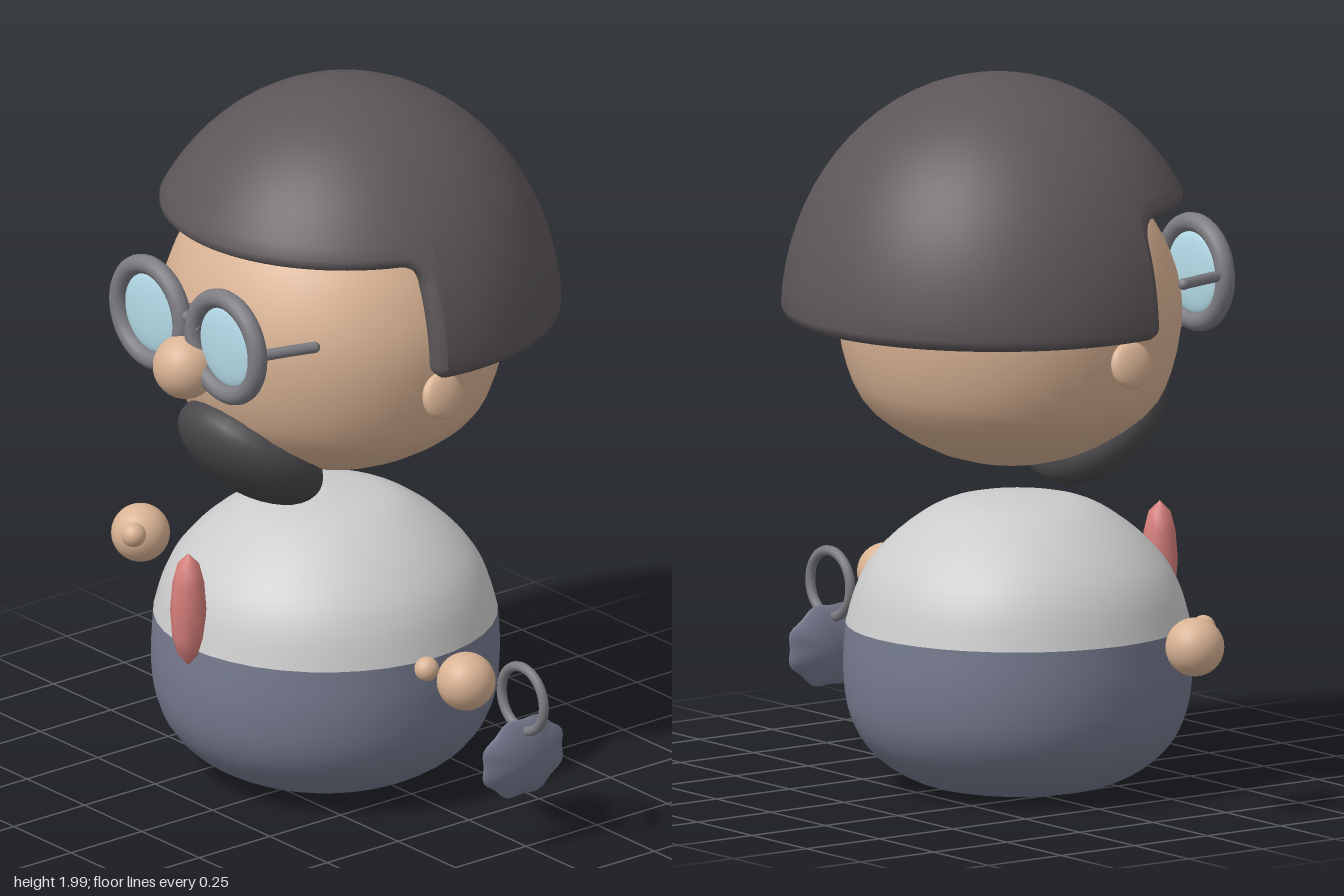
import * as THREE from 'three';
import { mergeVertices } from 'three/addons/utils/BufferGeometryUtils.js';

const CX = -0.075; // centre line of the figure
const paint = (color, extra = {}) => new THREE.MeshStandardMaterial({ color, ...extra });
const skin = paint(0xd9b394), hairMat = paint(0x5c5658), beardMat = paint(0x4a484a);
const shirtMat = paint(0xcccccc), slate = paint(0x757a8e), metal = paint(0x7c7c82);
const glass = paint(0xb4dbe8), red = paint(0xd67f7b);

function add(parent, name, geometry, material, x = 0, y = 0, z = 0) {
  const mesh = new THREE.Mesh(geometry, material);
  mesh.name = name;
  mesh.position.set(x, y, z);
  parent.add(mesh);
  return mesh;
}

const ball = (r, sx = 1, sy = 1, sz = 1) => new THREE.SphereGeometry(r, 32, 20).scale(sx, sy, sz);

// Smooth lathe through [radius, height] points, listed bottom to top
function lathe(points, segments = 40, samples = 24) {
  const curve = new THREE.SplineCurve(points.map(([r, y]) => new THREE.Vector2(r, y)));
  const profile = curve.getPoints(samples);
  profile.forEach((p) => { p.x = Math.max(0, p.x); });
  return new THREE.LatheGeometry(profile, segments);
}

function tube(points, radius) {
  const curve = new THREE.CatmullRomCurve3(points.map((p) => new THREE.Vector3(...p)));
  return new THREE.TubeGeometry(curve, 16, radius, 10);
}

// Domed hair shell: long at the back and sides, cut away above the face
function hairGeometry() {
  const R = 0.595, H = 0.67, base = 1.33, fringe = 1.645, cz = -0.03;
  const radius = (y, k) => R * Math.sqrt(Math.max(0, k * k - ((y - base) / H) ** 2));
  const phiAt = (z, y) => Math.acos((z - cz) / radius(y, 1));
  const half = []; // rim from mid front to mid back: angle, height, outward direction
  const put = (phi, y, nz, ny) => half.push({ phi, y, nz, ny });
  const start = phiAt(0.16, fringe), end = phiAt(0.075, base);
  for (let i = 0; i < 20; i++) put((start * i) / 20, fringe, 0, -1);
  for (let i = 0; i <= 6; i++) {
    const t = (i / 6) * Math.PI / 2, nz = Math.sin(t), ny = -Math.cos(t);
    const y = 1.595 - 0.05 * ny;
    put(phiAt(0.16 - 0.05 * nz, y), y, nz, ny);
  }
  for (let i = 1; i < 6; i++) {
    const y = 1.595 - (0.23 * i) / 6;
    put(phiAt(0.11, y), y, 1, 0);
  }
  for (let i = 0; i <= 5; i++) {
    const t = (i / 5) * Math.PI / 2, nz = Math.cos(t), ny = -Math.sin(t);
    const y = 1.365 + 0.035 * ny;
    put(phiAt(0.075 + 0.035 * nz, y), y, nz, ny);
  }
  for (let i = 1; i <= 24; i++) put(end + ((Math.PI - end) * i) / 24, base, 0, -1);
  const mirrored = half.slice(1, -1).reverse().map((p) => ({ ...p, phi: -p.phi, flip: true }));
  const rim = [...half, ...mirrored];

  const inner = 0.87, rows = 18;
  const lip = [[0.01, 0.985], [0, 0.96], [0, 0.91], [0.01, 0.885]];
  const pos = [], index = [];
  let count = 0;
  for (const p of rim) {
    const at = (y, k, d) => {
      const phi = p.phi + (p.flip ? -1 : 1) * p.nz * d / 0.58, r = radius(y, k);
      pos.push(CX + r * Math.sin(phi), y, cz + r * Math.cos(phi));
    };
    const yTop = p.y - p.ny * 0.03;
    const meridian = (k, s) => {
      const a0 = Math.asin((yTop - base) / (H * k));
      return base + H * k * Math.sin(a0 + (Math.PI / 2 - a0) * s);
    };
    const from = pos.length;
    for (let j = 0; j <= rows; j++) at(meridian(1, 1 - j / rows), 1, 0.03);
    for (const [d, k] of lip) at(p.y - p.ny * d, k, d);
    for (let j = 0; j <= rows; j++) at(meridian(inner, j / rows), inner, 0.03);
    count = (pos.length - from) / 3;
  }
  for (let i = 0; i < rim.length; i++) {
    const a = i * count, b = ((i + 1) % rim.length) * count;
    for (let j = 0; j < count - 1; j++) {
      index.push(a + j, a + j + 1, b + j + 1, a + j, b + j + 1, b + j);
    }
  }
  let geometry = new THREE.BufferGeometry();
  geometry.setAttribute('position', new THREE.Float32BufferAttribute(pos, 3));
  geometry.setIndex(index);
  geometry = mergeVertices(geometry, 1e-5);
  geometry.computeVertexNormals();
  return geometry;
}

// Thin pillow with a gently scalloped outline, lying in the yz plane
function pendantGeometry() {
  const geometry = new THREE.SphereGeometry(1, 48, 24).rotateZ(Math.PI / 2);
  const p = geometry.attributes.position;
  for (let i = 0; i < p.count; i++) {
    const x = p.getX(i), y = p.getY(i), z = p.getZ(i);
    const f = 0.96 + 0.04 * Math.cos(8 * Math.atan2(y, z) + Math.PI) * Math.hypot(y, z);
    p.setXYZ(i, 0.037 * x * Math.sqrt(Math.abs(x)), 0.12 * y * f, 0.15 * z * f);
  }
  geometry.computeVertexNormals();
  return geometry;
}

export function createModel() {
  const model = new THREE.Group();
  model.name = 'figure';

  // Body in two colours
  add(model, 'trousers', lathe([[0, 0.008], [0.22, 0.015], [0.34, 0.06], [0.42, 0.13],
    [0.465, 0.22], [0.48, 0.34], [0.474, 0.465]]), slate, CX, 0, 0.04);
  add(model, 'shirt', lathe([[0.474, 0.465], [0.445, 0.565], [0.395, 0.65], [0.3, 0.74],
    [0.18, 0.805], [0, 0.825]]), shirtMat, CX, 0, 0.04);

  // Spindle-shaped tie
  const tie = [[0, -0.165], [0.03, -0.13], [0.044, -0.08], [0.05, 0], [0.044, 0.08],
    [0.03, 0.135], [0, 0.165]].map(([r, y]) => new THREE.Vector2(r, y));
  add(model, 'tie', new THREE.LatheGeometry(tie, 10), red, CX, 0.585, 0.525);

  // Head, hair, nose and beard
  add(model, 'head', lathe([[0, 0.905], [0.2, 0.945], [0.39, 1.055], [0.465, 1.18],
    [0.493, 1.35], [0.46, 1.5], [0.37, 1.64], [0.2, 1.74], [0, 1.77]]).scale(1, 1, 0.94),
  skin, CX, 0, 0.012);
  add(model, 'hair', hairGeometry(), hairMat);
  add(model, 'nose', ball(0.09), skin, CX, 1.306, 0.535);
  const beard = add(model, 'beard', ball(1, 0.215, 0.118, 0.225), beardMat, CX, 1.0, 0.305);
  beard.rotation.x = -0.69;

  // Glasses, ears and hands, mirrored about the centre line
  const glasses = new THREE.Group();
  glasses.name = 'glasses';
  glasses.position.x = CX;
  model.add(glasses);
  for (const s of [-1, 1]) {
    const side = s > 0 ? 'left' : 'right';
    add(glasses, side + 'Rim', new THREE.TorusGeometry(0.138, 0.027, 14, 40), metal,
      s * 0.164, 1.412, 0.525);
    add(glasses, side + 'Lens', ball(1, 0.115, 0.115, 0.018), glass, s * 0.164, 1.412, 0.52);
    add(glasses, side + 'Temple', tube([[s * 0.29, 1.42, 0.52], [s * 0.315, 1.422, 0.44],
      [s * 0.34, 1.422, 0.355]], 0.016), metal);
    add(glasses, side + 'TempleTip', ball(0.016), metal, s * 0.34, 1.422, 0.355);
    add(glasses, side + 'NosePad', tube([[s * 0.035, 1.43, 0.515], [s * 0.05, 1.45, 0.48],
      [s * 0.065, 1.425, 0.465]], 0.014), metal);

    const ear = add(model, side + 'Ear', ball(0.066, 0.42, 1, 1), skin, CX + s * 0.515, 1.255, 0.045);
    ear.rotation.z = s * 0.22;

    add(model, side + 'Hand', ball(0.081), skin, CX + s * 0.709, 0.49, 0.118);
    add(model, side + 'Thumb', ball(0.034), skin, CX + s * 0.638, 0.525, 0.2);
  }
  add(glasses, 'bridge', tube([[-0.05, 1.425, 0.525], [0, 1.45, 0.525], [0.05, 1.425, 0.525]],
    0.016), metal);

  // Ring with a hanging pendant beside the left hand
  add(model, 'ring', new THREE.TorusGeometry(0.092, 0.014, 12, 40), metal, 0.755, 0.45, 0.016);
  add(model, 'pendant', pendantGeometry(), slate, 0.755, 0.28, 0.016);

  return model;
}
